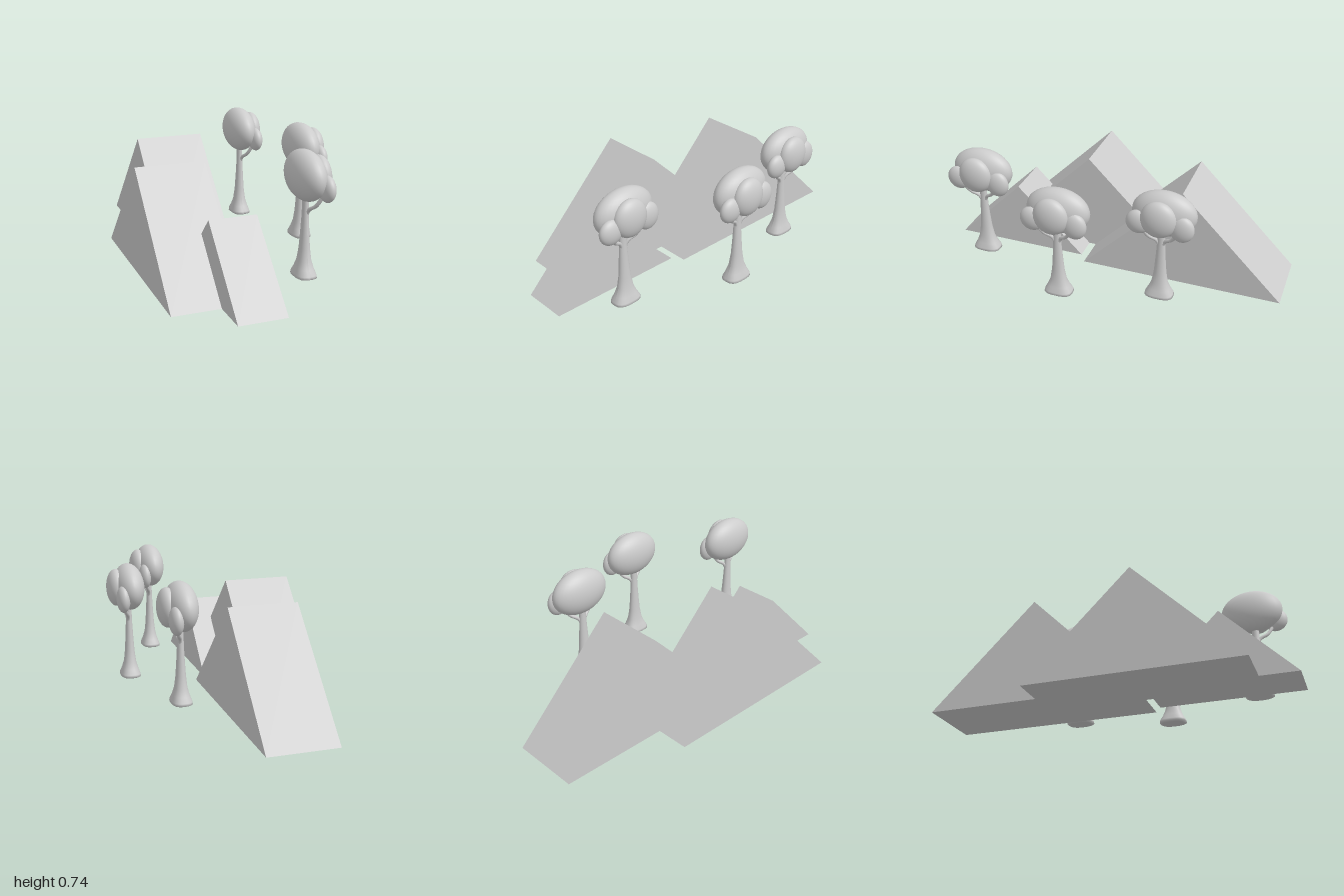
import * as THREE from 'three';

const material = new THREE.MeshStandardMaterial({ color: 0xcccccc, side: THREE.DoubleSide });

function add(parent, name, geometry, x = 0, y = 0, z = 0) {
  const mesh = new THREE.Mesh(geometry, material);
  mesh.name = name;
  mesh.position.set(x, y, z);
  parent.add(mesh);
  return mesh;
}

// Triangular ridge running along x, symmetric about its apex
function ridge(x0, x1, zApex, halfDepth, height) {
  const shape = new THREE.Shape();
  shape.moveTo(-halfDepth, 0);
  shape.lineTo(halfDepth, 0);
  shape.lineTo(0, height);
  shape.closePath();
  const geometry = new THREE.ExtrudeGeometry(shape, { depth: x1 - x0, bevelEnabled: false });
  geometry.rotateY(Math.PI / 2);
  geometry.translate(x0, 0, zApex);
  return geometry;
}

// Turned trunk, wider in z, with a slightly squared foot
function trunkGeometry() {
  const profile = [[0, 0.075], [0.045, 0.075], [0.056, 0.082], [0.054, 0.096], [0.044, 0.125], [0.034, 0.165],
    [0.027, 0.23], [0.022, 0.31], [0.018, 0.39], [0.016, 0.46], [0.016, 0.55]]
    .map(([r, y]) => new THREE.Vector2(r, y));
  const geometry = new THREE.LatheGeometry(profile, 24);
  const p = geometry.attributes.position;
  for (let i = 0; i < p.count; i++) {
    const x = p.getX(i), y = p.getY(i), z = p.getZ(i);
    const a = Math.atan2(z, x);
    const foot = THREE.MathUtils.clamp((0.2 - y) / 0.1, 0, 1);
    const square = 1 + foot * 0.12 * (Math.sin(2 * a) ** 2);
    p.setXYZ(i, x * square, y, z * square * (1.3 + 0.12 * foot));
  }
  geometry.computeVertexNormals();
  return geometry;
}

function branch(side) {
  const curve = new THREE.CatmullRomCurve3([
    new THREE.Vector3(0, 0.38, 0),
    new THREE.Vector3(0.008, 0.435, side * 0.025),
    new THREE.Vector3(0.025, 0.465, side * 0.065),
    new THREE.Vector3(0.05, 0.53, side * 0.1),
  ]);
  return new THREE.TubeGeometry(curve, 16, 0.01, 8);
}

function makeTree(x, z) {
  const tree = new THREE.Group();
  tree.name = 'tree';
  tree.position.set(x, 0, z);
  add(tree, 'trunk', trunkGeometry());
  for (const side of [1, -1]) add(tree, 'branch', branch(side));

  // Foliage: centre, then radii
  const lobes = [
    ['crown', 0, 0.606, -0.013, 0.083, 0.129, 0.176],
    ['sideLobe', 0.069, 0.602, 0.0, 0.053, 0.104, 0.098],
    ['frontLobe', 0.057, 0.562, 0.112, 0.037, 0.068, 0.068],
    ['backLobe', 0.052, 0.56, -0.122, 0.037, 0.076, 0.067],
  ];
  for (const [name, cx, cy, cz, rx, ry, rz] of lobes) {
    add(tree, name, new THREE.SphereGeometry(1, 32, 20), cx, cy, cz).scale.set(rx, ry, rz);
  }
  return tree;
}

export function createModel() {
  const model = new THREE.Group();
  model.name = 'mountainsAndTrees';

  add(model, 'middleMountain', ridge(-0.555, -0.167, 0.205, 0.587, 0.588));
  add(model, 'backMountain', ridge(-0.365, 0.027, -0.415, 0.585, 0.588));
  add(model, 'frontMountain', ridge(-0.295, -0.034, 0.605, 0.395, 0.395));

  for (const [x, z] of [[0.178, 0.72], [0.43, 0.155], [0.27, -0.373]]) model.add(makeTree(x, z));
  return model;
}
